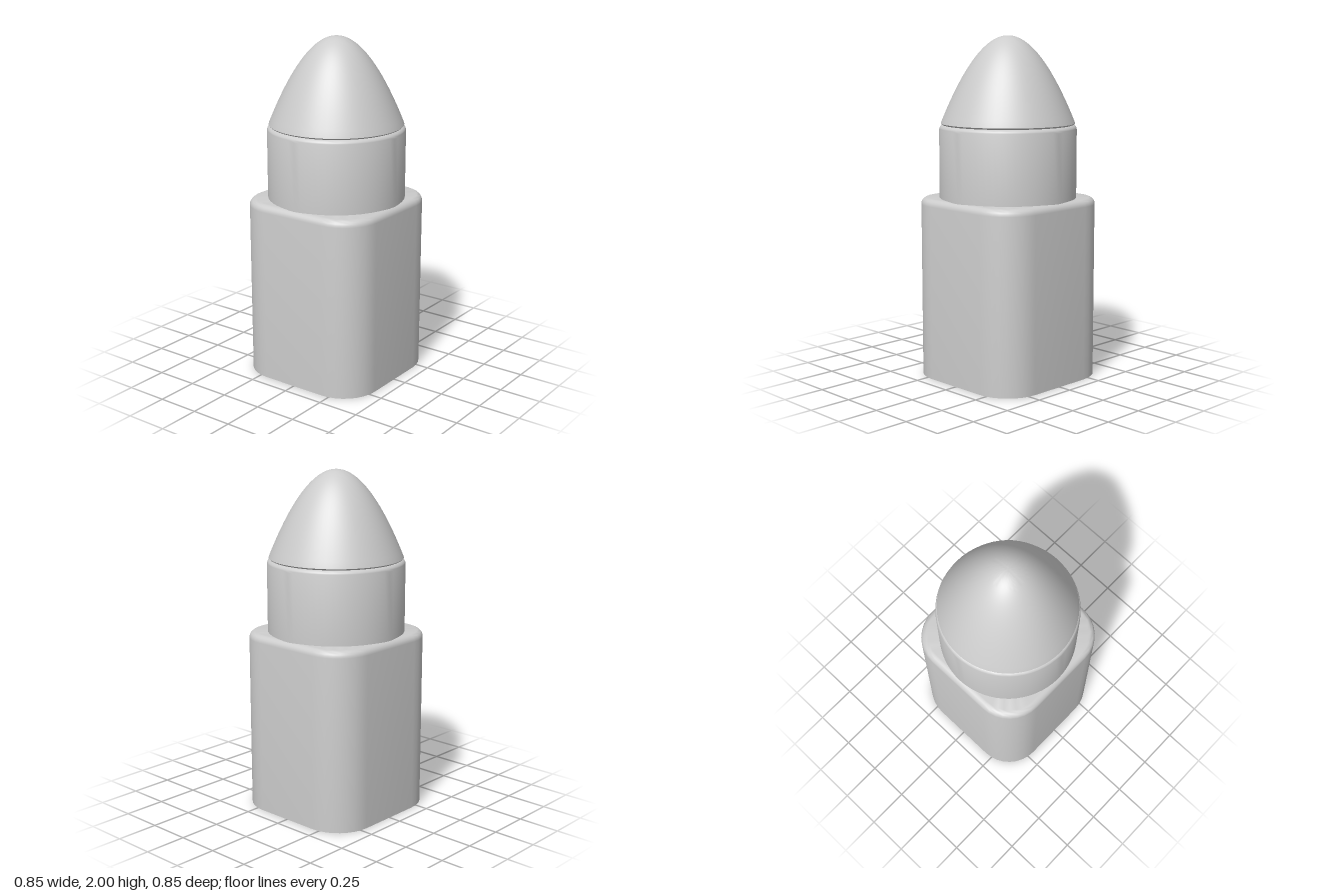
import * as THREE from 'three';
import { toCreasedNormals } from 'three/addons/utils/BufferGeometryUtils.js';

const HALF = 0.424, CORNER = 0.22, HEIGHT = 1.065, FILLET = 0.04;

// One loop of a rounded square, shrunk by inset; collapse = 0 pulls it to the centre
function ring(inset, y, collapse = 1, segments = 8) {
  const points = [];
  const c = HALF - CORNER, r = CORNER - inset;
  for (let q = 0; q < 4; q++) {
    const mid = (q + 0.5) * Math.PI / 2;
    const cx = Math.sign(Math.cos(mid)) * c, cz = Math.sign(Math.sin(mid)) * c;
    for (let i = 0; i <= segments; i++) {
      const a = (q + i / segments) * Math.PI / 2;
      points.push([(cx + r * Math.cos(a)) * collapse, y, (cz + r * Math.sin(a)) * collapse]);
    }
  }
  return points;
}

// Rounded square block: flat underside, filleted top edge
function baseGeometry() {
  const rings = [ring(0, 0, 0), ring(0, 0)];
  for (let i = 0; i <= 6; i++) {
    const a = i / 6 * Math.PI / 2;
    rings.push(ring(FILLET * (1 - Math.cos(a)), HEIGHT - FILLET * (1 - Math.sin(a))));
  }
  rings.push(ring(FILLET, HEIGHT, 0));
  const positions = [];
  for (let k = 0; k < rings.length - 1; k++) {
    const lower = rings[k], upper = rings[k + 1], n = lower.length;
    for (let i = 0; i < n; i++) {
      const j = (i + 1) % n;
      if (k < rings.length - 2) positions.push(...lower[i], ...upper[i], ...upper[j]);
      if (k > 0) positions.push(...lower[i], ...upper[j], ...lower[j]);
    }
  }
  const geometry = new THREE.BufferGeometry();
  geometry.setAttribute('position', new THREE.Float32BufferAttribute(positions, 3));
  return toCreasedNormals(geometry, 0.6);
}

const lathe = (profile) => toCreasedNormals(new THREE.LatheGeometry(profile, 64), 0.6);

// Straight barrel with a filleted top rim
function collarGeometry() {
  const profile = [new THREE.Vector2(0.4, 1.06)];
  const r = 0.03;
  for (let i = 0; i <= 6; i++) {
    const a = i / 6 * Math.PI / 2;
    profile.push(new THREE.Vector2(0.4 - r + r * Math.cos(a), 1.49 - r + r * Math.sin(a)));
  }
  profile.push(new THREE.Vector2(0, 1.49));
  return lathe(profile);
}

// Domed nose with a small tucked-in lower lip
function noseGeometry() {
  const curve = new THREE.QuadraticBezierCurve(
    new THREE.Vector2(0.388, 1.503), new THREE.Vector2(0.185, 2), new THREE.Vector2(0, 2));
  const lip = [[0, 1.488], [0.378, 1.488], [0.386, 1.492], [0.39, 1.497]];
  const dome = curve.getPoints(32);
  dome[dome.length - 1].x = 0;
  return lathe([...lip.map(([x, y]) => new THREE.Vector2(x, y)), ...dome]);
}

export function createModel() {
  const grey = new THREE.MeshStandardMaterial({ color: 0xcccccc });
  grey.name = 'light grey';
  const model = new THREE.Group();
  model.name = 'roundedTower';
  const parts = { base: baseGeometry(), collar: collarGeometry(), nose: noseGeometry() };
  for (const [name, geometry] of Object.entries(parts)) {
    const mesh = new THREE.Mesh(geometry, grey);
    mesh.name = name;
    model.add(mesh);
  }
  return model;
}
